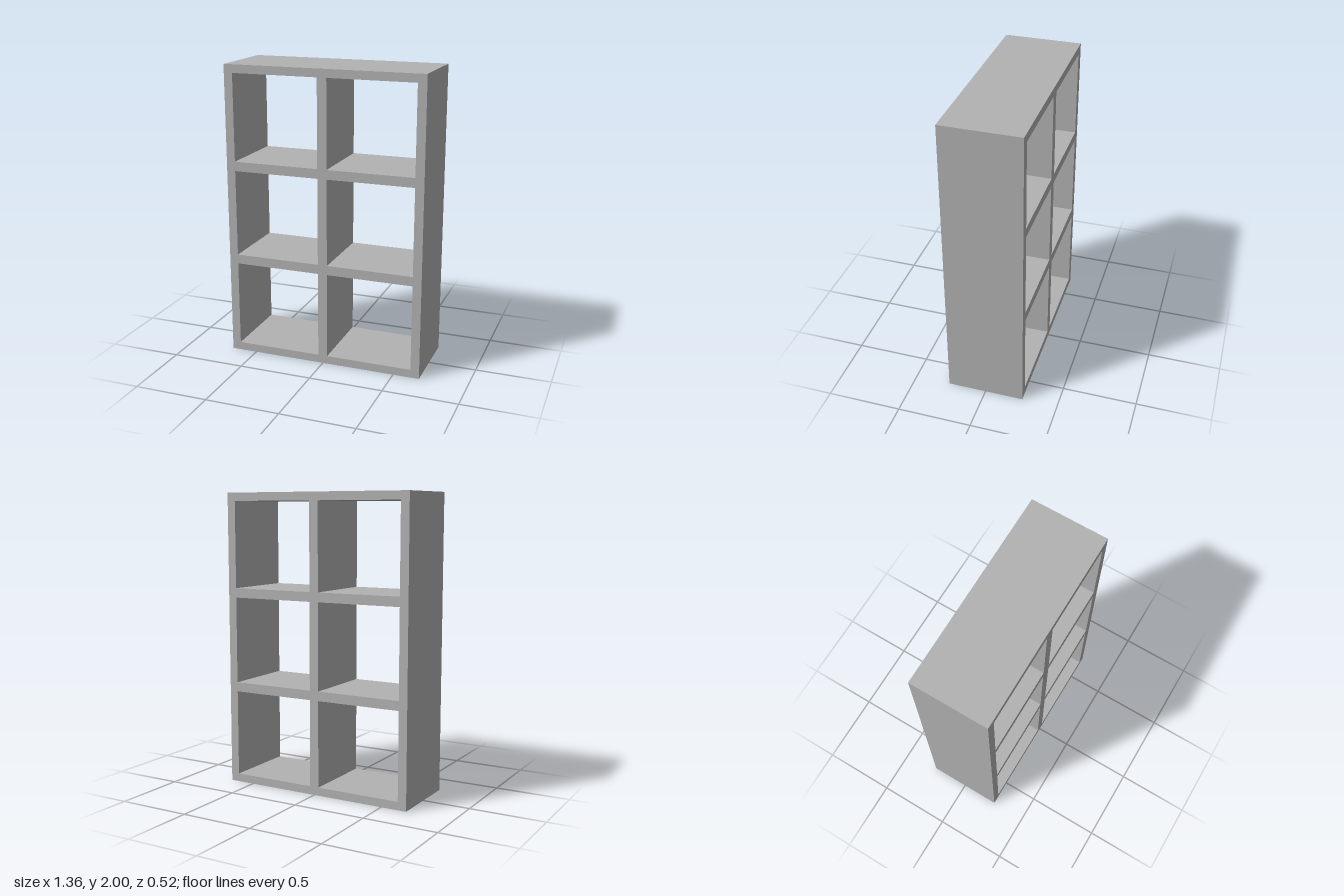
import * as THREE from 'three';

const WIDTH = 1.356, HEIGHT = 2, DEPTH = 0.52;
const COLUMNS = 2, ROWS = 3;
const CELL = 0.587;     // square opening
const DIVIDER = 0.064;  // inner board thickness

// Adds a closed rectangle to a shape or path
function rectangle(path, x, y, w, h) {
  path.moveTo(x, y);
  path.lineTo(x + w, y);
  path.lineTo(x + w, y + h);
  path.lineTo(x, y + h);
  path.closePath();
  return path;
}

export function createModel() {
  const model = new THREE.Group();
  model.name = 'cubeShelf';

  const greyBoard = new THREE.MeshStandardMaterial({ color: 0xb2b2b2 });
  greyBoard.name = 'greyBoard';

  // Outer frame outline
  const outline = rectangle(new THREE.Shape(), -WIDTH / 2, 0, WIDTH, HEIGHT);

  // Open compartments, centred in the frame
  const pitch = CELL + DIVIDER;
  const left = -(COLUMNS * pitch - DIVIDER) / 2;
  const bottom = (HEIGHT - (ROWS * pitch - DIVIDER)) / 2;
  for (let row = 0; row < ROWS; row++) {
    for (let col = 0; col < COLUMNS; col++) {
      outline.holes.push(
        rectangle(new THREE.Path(), left + col * pitch, bottom + row * pitch, CELL, CELL)
      );
    }
  }

  // Frame, shelves and divider as one seamless body
  const geometry = new THREE.ExtrudeGeometry(outline, { depth: DEPTH, bevelEnabled: false });
  geometry.translate(0, 0, -DEPTH / 2);
  const body = new THREE.Mesh(geometry, greyBoard);
  body.name = 'shelfFrame';
  model.add(body);

  return model;
}
